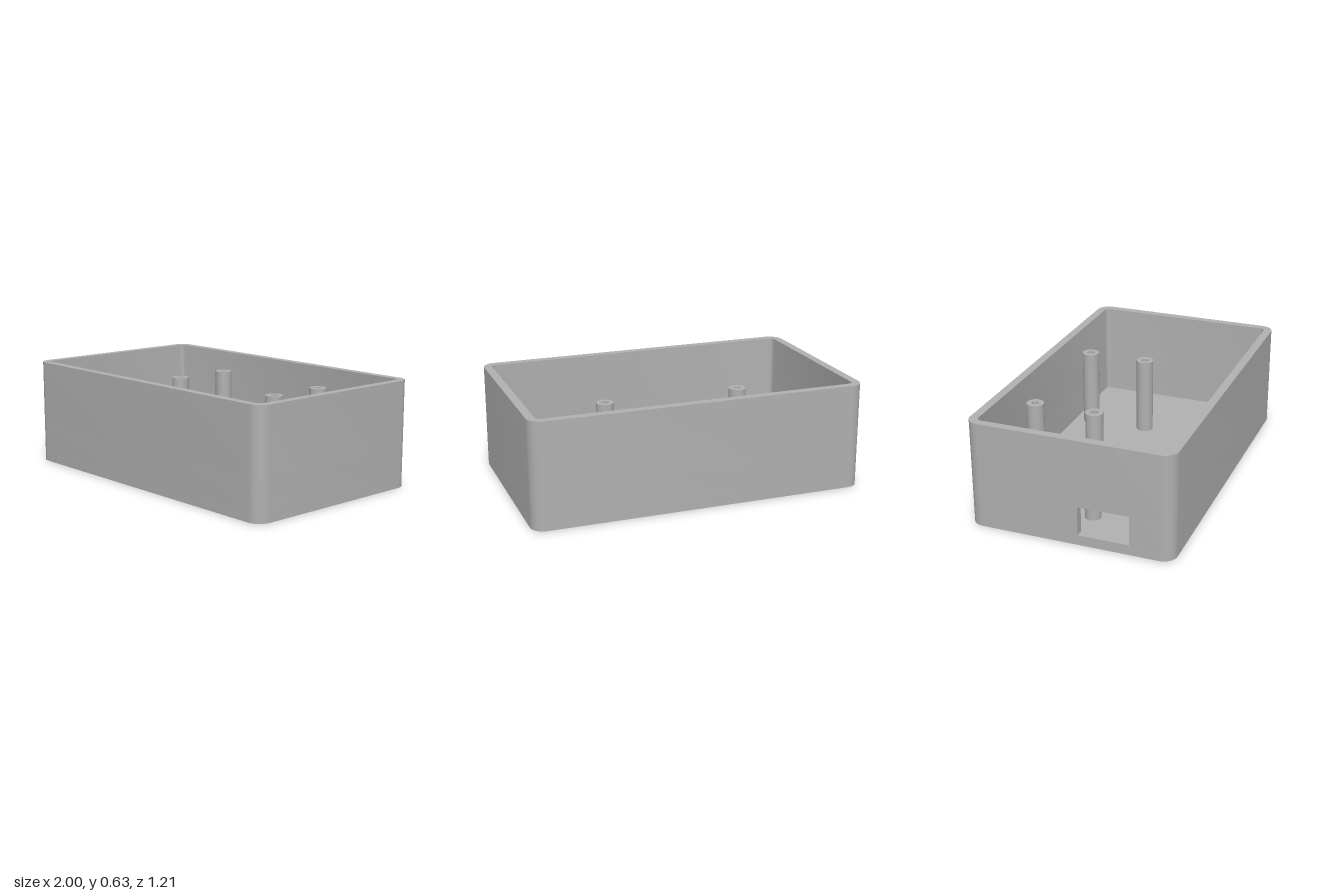
import * as THREE from 'three';
import { toCreasedNormals } from 'three/addons/utils/BufferGeometryUtils.js';

const HX = 1, HZ = 0.603, HEIGHT = 0.63, WALL = 0.05, FLOOR = 0.05;
const PORT = { bottom: 0.06, top: 0.235, z0: 0.055, z1: 0.355 };

// Counter-clockwise rounded rectangle outline, from lower left to upper left
function outline(hx, hz, r) {
  const pts = [];
  [[-1, -1], [1, -1], [1, 1], [-1, 1]].forEach(([sx, sy], corner) => {
    for (let i = 0; i <= 10; i++) {
      const a = Math.PI + (corner + i / 10) * Math.PI / 2;
      pts.push(new THREE.Vector2(sx * (hx - r) + r * Math.cos(a), sy * (hz - r) + r * Math.sin(a)));
    }
  });
  return pts;
}

// Extrudes a plan shape (shape y = -z) upwards between two heights
function slab(shape, y0, y1) {
  const geo = new THREE.ExtrudeGeometry(shape, { depth: y1 - y0, bevelEnabled: false });
  geo.rotateX(-Math.PI / 2);
  geo.translate(0, y0, 0);
  return toCreasedNormals(geo, 0.5);
}

export function createModel() {
  const model = new THREE.Group();
  model.name = 'enclosure';
  const grey = new THREE.MeshStandardMaterial({ color: 0xb0b0b0 });
  grey.name = 'grey plastic';

  const add = (name, geo, x = 0, z = 0) => {
    const mesh = new THREE.Mesh(geo, grey);
    mesh.name = name;
    mesh.position.set(x, 0, z);
    model.add(mesh);
  };

  const outer = outline(HX, HZ, 0.08);
  const inner = outline(HX - WALL, HZ - WALL, 0.03);

  // Floor
  add('floor', slab(new THREE.Shape(outer), 0, FLOOR));

  // Closed wall rings below and above the port
  const ring = new THREE.Shape(outer);
  ring.holes.push(new THREE.Path(inner));
  add('lowerWall', slab(ring, FLOOR, PORT.bottom));
  add('upperWall', slab(ring, PORT.top, HEIGHT));

  // Wall band left open at the port in the -x side
  const band = new THREE.Shape([
    new THREE.Vector2(-HX, -PORT.z1), ...outer, new THREE.Vector2(-HX, -PORT.z0),
    new THREE.Vector2(-HX + WALL, -PORT.z0), ...inner.slice().reverse(),
    new THREE.Vector2(-HX + WALL, -PORT.z1),
  ]);
  add('portWall', slab(band, PORT.bottom, PORT.top));

  // Tall hollow screw posts
  const profile = [[0.052, FLOOR], [0.052, 0.523], [0.022, 0.523], [0.022, 0.06], [0, 0.06]]
    .map(([r, y]) => new THREE.Vector2(r, y));
  const screwPost = toCreasedNormals(new THREE.LatheGeometry(profile, 32), 0.5);
  for (const x of [-0.42, 0.42]) {
    for (const z of [-0.45, -0.08]) add('screwPost', screwPost, x, z);
  }

  // Short solid board supports beside the port
  const top = 0.13;
  const support = new THREE.CylinderGeometry(0.047, 0.047, top - FLOOR, 32);
  support.translate(0, (top + FLOOR) / 2, 0);
  for (const x of [-0.765, -0.45]) {
    for (const z of [0.05, 0.365]) add('boardSupport', support, x, z);
  }

  return model;
}
